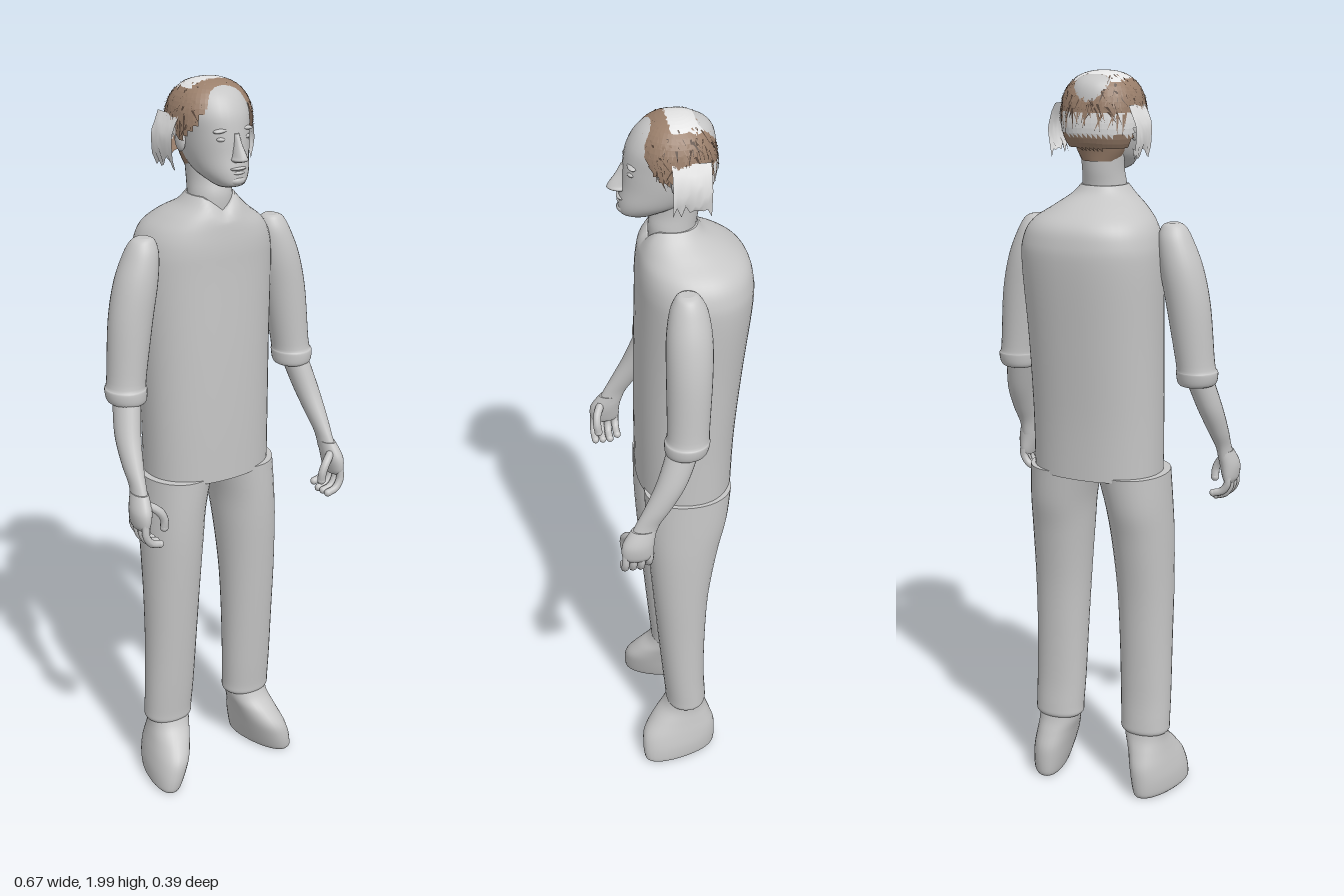
import * as THREE from 'three';

const mat = (name, color, side = THREE.FrontSide) => {
  const m = new THREE.MeshStandardMaterial({ color, side });
  m.name = name;
  return m;
};

function createModel() {
  const grey = mat('grey', 0xc6c6c6);
  const pale = mat('pale grey', 0xe4e4e4, THREE.DoubleSide);
  const brown = mat('brown hair', 0x9a7f6b, THREE.DoubleSide);
  const dark = mat('dark hair', 0x5a483c, THREE.DoubleSide);
  const model = new THREE.Group();
  model.name = 'standingMan';

  let seed = 7;
  const rnd = () => (seed = (seed * 16807) % 2147483647) / 2147483647;

  const add = (name, geometry, material = grey, parent = model) => {
    const mesh = new THREE.Mesh(geometry, material);
    mesh.name = name;
    parent.add(mesh);
    return mesh;
  };

  // Smooth stack of rounded cross-sections [y, cx, cz, rx, rz], listed bottom to top
  function loft(sections, { s = 1, n = 2, seg = 32, sub = 5, warp } = {}) {
    const rows = [];
    const last = sections.length - 1;
    const at = (i) => sections[Math.min(last, Math.max(0, i))];
    for (let k = 0; k <= last * sub; k++) {
      const i = Math.min(last - 1, Math.floor(k / sub)), t = k / sub - i;
      rows.push(at(i).map((b, c) => {
        const a = at(i - 1)[c], d = at(i + 1)[c], e = at(i + 2)[c];
        const m0 = (d - a) / 2, m1 = (e - b) / 2;
        return b + m0 * t + (3 * (d - b) - 2 * m0 - m1) * t * t + (2 * (b - d) + m0 + m1) * t * t * t;
      }));
    }
    const pos = [], idx = [];
    const pw = (v) => Math.sign(v) * Math.pow(Math.abs(v), 2 / n);
    const ring = ([y, cx, cz, rx, rz]) => {
      for (let i = 0; i < seg; i++) {
        const a = (i / seg) * Math.PI * 2;
        const p = new THREE.Vector3(cx * s + rx * pw(Math.cos(a)), y, cz + rz * pw(Math.sin(a)));
        if (warp) warp(p);
        pos.push(p.x, p.y, p.z);
      }
    };
    rows.forEach(ring);
    for (let j = 0; j < rows.length - 1; j++) {
      for (let i = 0; i < seg; i++) {
        const a = j * seg + i, b = j * seg + ((i + 1) % seg);
        idx.push(a, a + seg, b, b, a + seg, b + seg);
      }
    }
    // end caps with their own vertices
    [rows[0], rows[rows.length - 1]].forEach((row, top) => {
      const base = pos.length / 3;
      ring(row);
      pos.push(row[1] * s, row[0], row[2]);
      for (let i = 0; i < seg; i++) {
        const a = base + i, b = base + ((i + 1) % seg);
        idx.push(base + seg, top ? b : a, top ? a : b);
      }
    });
    const g = new THREE.BufferGeometry();
    g.setAttribute('position', new THREE.Float32BufferAttribute(pos, 3));
    g.setIndex(idx);
    g.computeVertexNormals();
    return g;
  }

  const blob = (name, x, y, z, rx, ry, rz, parent = model) => {
    const m = add(name, new THREE.SphereGeometry(1, 16, 12), grey, parent);
    m.position.set(x, y, z);
    m.scale.set(rx, ry, rz);
    return m;
  };

  // Shirt with a small V at the collar
  add('shirt', loft([
    [0.935, 0.004, -0.017, 0.18, 0.128], [1.1, 0.004, -0.02, 0.181, 0.132],
    [1.3, 0.006, -0.03, 0.184, 0.14], [1.5, 0.01, -0.043, 0.19, 0.148],
    [1.57, 0.01, -0.043, 0.184, 0.147], [1.615, 0.007, -0.037, 0.163, 0.137],
    [1.65, 0, -0.018, 0.122, 0.112], [1.68, 0, 0.005, 0.083, 0.08], [1.705, 0, 0.01, 0.06, 0.064],
  ], {
    n: 2.25, seg: 48,
    warp: (p) => {
      if (p.z > 0.02 && p.y > 1.64) p.y -= 0.04 * Math.max(0, 1 - Math.abs(p.x) / 0.05) * (p.y - 1.64) / 0.065;
    },
  }));

  // Neck and head
  add('neck', loft([[1.63, 0, 0.01, 0.062, 0.055], [1.7, 0, 0.01, 0.058, 0.06], [1.75, 0, 0, 0.055, 0.058], [1.82, 0, -0.005, 0.06, 0.06]]));
  add('head', loft([
    [1.738, 0, 0.085, 0.025, 0.03], [1.748, 0, 0.085, 0.04, 0.055], [1.775, 0, 0.055, 0.062, 0.088],
    [1.82, 0, 0.028, 0.076, 0.107], [1.87, 0, 0.02, 0.083, 0.11], [1.92, 0, 0.012, 0.088, 0.108],
    [1.96, 0, 0.004, 0.076, 0.091], [1.982, 0, 0, 0.05, 0.06], [1.99, 0, 0, 0.01, 0.014],
  ], { n: 2.1 }));
  const face = new THREE.Group();
  face.name = 'face';
  model.add(face);
  add('nose', loft([
    [1.805, 0, 0.133, 0.012, 0.012], [1.812, 0, 0.138, 0.02, 0.029], [1.822, 0, 0.137, 0.016, 0.031],
    [1.85, 0, 0.128, 0.01, 0.02], [1.875, 0, 0.122, 0.008, 0.012],
  ], { seg: 16 }), grey, face);
  blob('upperLip', 0, 1.789, 0.134, 0.024, 0.005, 0.013, face);
  blob('lowerLip', 0, 1.779, 0.133, 0.02, 0.006, 0.013, face);
  blob('chin', 0, 1.759, 0.127, 0.025, 0.014, 0.02, face);
  for (const s of [-1, 1]) {
    blob('eye', s * 0.034, 1.862, 0.112, 0.015, 0.007, 0.012, face);
    blob('brow', s * 0.036, 1.883, 0.112, 0.022, 0.006, 0.012, face).rotation.z = -s * 0.12;
    blob('ear', s * 0.086, 1.85, 0.005, 0.01, 0.032, 0.02, face).rotation.x = -0.15;
  }

  // Hair surface: squarish ellipsoid around the skull
  const shell = (d, k = 1) => {
    const q = Math.pow(Math.abs(d.x) ** 2.4 + Math.abs(d.y) ** 2.4 + Math.abs(d.z) ** 2.4, -1 / 2.4) * k;
    return new THREE.Vector3(d.x * q * 0.108, 1.88 + d.y * q * 0.114, 0.004 + d.z * q * 0.103);
  };
  const hasHair = (p) => {
    if (p.z > 0.03) return p.y > 1.972 - 0.095 * (p.x / 0.095) ** 2;
    return p.y > (p.z < -0.03 ? 1.8 : 1.86);
  };
  const isPale = (p) => (p.y > 1.965 && p.z > -0.055 && p.z < 0.025 && Math.abs(p.x) < 0.07)
    || (p.y < 1.893 && p.y > 1.835 && p.z < 0.02);

  // Hair cap, divided into brown and pale areas
  const sphere = new THREE.SphereGeometry(1, 48, 28).toNonIndexed().getAttribute('position');
  const areas = { brown: [], pale: [] };
  for (let i = 0; i < sphere.count; i += 3) {
    const tri = [0, 1, 2].map((k) => shell(new THREE.Vector3().fromBufferAttribute(sphere, i + k)));
    const mid = tri[0].clone().add(tri[1]).add(tri[2]).divideScalar(3);
    if (hasHair(mid)) tri.forEach((p) => areas[isPale(mid) ? 'pale' : 'brown'].push(...p.toArray()));
  }
  const soup = (list) => {
    const g = new THREE.BufferGeometry();
    g.setAttribute('position', new THREE.Float32BufferAttribute(list, 3));
    g.computeVertexNormals();
    return g;
  };
  add('hairCap', soup(areas.brown), brown);
  add('scalpPatches', soup(areas.pale), pale);

  // Loose locks: slim pointed strips hanging over the cap
  const locks = [[], []];
  for (let i = 0; i < 260; i++) {
    const a = rnd() * Math.PI * 2, h = 0.05 + rnd() * 0.85, len = 0.2 + rnd() * 0.25, lean = (rnd() - 0.5) * 0.5;
    const dir = (ang, y) => new THREE.Vector3(Math.cos(ang) * Math.sqrt(1 - y * y), y, Math.sin(ang) * Math.sqrt(1 - y * y));
    const root = shell(dir(a, h), 1.01), side = shell(dir(a + 0.07, h), 1.01), tip = shell(dir(a + lean, h - len), 1.04);
    if (hasHair(root) && (hasHair(tip) || tip.z < 0.06 || tip.y > 1.945)) {
      locks[i % 3 ? 0 : 1].push(...root.toArray(), ...side.toArray(), ...tip.toArray());
    }
  }
  add('brownLocks', soup(locks[0]), brown);
  add('darkLocks', soup(locks[1]), dark);

  // Nape hair
  add('napeHair', loft([[1.768, 0, -0.012, 0.05, 0.052], [1.8, 0, -0.012, 0.066, 0.06], [1.84, 0, -0.01, 0.076, 0.078]], { seg: 24 }), brown);

  for (const s of [-1, 1]) {
    const side = s > 0 ? 'left' : 'right';

    // Ragged pale side hair
    const sheet = new THREE.PlaneGeometry(0.095, 0.12, 9, 5).rotateY(Math.PI / 2);
    const sp = sheet.getAttribute('position');
    for (let i = 0; i < sp.count; i++) {
      const low = 0.5 - sp.getY(i) / 0.12;
      sp.setX(i, s * (0.104 + 0.022 * Math.sin(low * 2.6)));
      sp.setY(i, 1.852 + sp.getY(i) + low * (rnd() - 0.5) * 0.035);
      sp.setZ(i, -0.02 + sp.getZ(i));
    }
    sheet.computeVertexNormals();
    add(side + 'SideHair', sheet, pale);

    // Arm: sleeve with rolled hem, forearm, hand
    const arm = new THREE.Group();
    arm.name = side + 'Arm';
    model.add(arm);
    add('sleeve', loft([
      [1.187, 0.262, 0.022, 0.03, 0.035], [1.195, 0.265, 0.02, 0.05, 0.053], [1.225, 0.266, 0.017, 0.055, 0.058],
      [1.25, 0.262, 0.014, 0.051, 0.054], [1.4, 0.243, 0.008, 0.058, 0.058], [1.5, 0.223, 0.005, 0.057, 0.058],
      [1.57, 0.206, 0.004, 0.046, 0.048], [1.605, 0.2, 0.005, 0.032, 0.032], [1.615, 0.198, 0.006, 0.016, 0.02],
    ], { s }), grey, arm);
    add('forearm', loft([
      [0.96, 0.305, 0.142, 0.02, 0.034], [1.0, 0.302, 0.125, 0.019, 0.032], [1.05, 0.298, 0.095, 0.026, 0.036],
      [1.12, 0.288, 0.058, 0.033, 0.04], [1.21, 0.268, 0.025, 0.036, 0.042],
    ], { s, seg: 24 }), grey, arm);
    add('palm', loft([
      [0.895, 0.313, 0.154, 0.014, 0.032], [0.91, 0.314, 0.155, 0.02, 0.041], [0.945, 0.311, 0.152, 0.025, 0.042],
      [0.985, 0.304, 0.136, 0.02, 0.033],
    ], { s, seg: 24 }), grey, arm);
    const finger = (name, pts, r) => {
      const curve = new THREE.CatmullRomCurve3(pts.map(([x, y, z]) => new THREE.Vector3(s * x, y, z)));
      add(name, new THREE.TubeGeometry(curve, 10, r, 8), grey, arm);
      const tip = curve.getPoint(1);
      blob(name + 'Tip', tip.x, tip.y, tip.z, r, r, r, arm);
    };
    for (let f = 0; f < 4; f++) {
      const z = 0.122 + f * 0.021, drop = f === 0 ? 0.012 : 0;
      finger('finger', [[0.316, 0.915, z], [0.316, 0.882 + drop, z + 0.002], [0.3, 0.858 + drop, z + 0.003], [0.275, 0.85 + drop, z + 0.002]], 0.0105);
    }
    finger('thumb', [[0.3, 0.96, 0.165], [0.272, 0.94, 0.18], [0.258, 0.915, 0.183], [0.257, 0.89, 0.18]], 0.0115);

    // Leg and shoe
    const leg = new THREE.Group();
    leg.name = side + 'Leg';
    model.add(leg);
    add('trouserLeg', loft([
      [0.178, 0.135, -0.005, 0.058, 0.048], [0.188, 0.135, -0.005, 0.069, 0.057], [0.215, 0.135, -0.004, 0.07, 0.058],
      [0.3, 0.133, 0.002, 0.072, 0.06], [0.45, 0.13, 0.007, 0.074, 0.068], [0.6, 0.127, 0.008, 0.078, 0.079],
      [0.75, 0.121, 0.001, 0.083, 0.097], [0.85, 0.114, -0.009, 0.086, 0.111], [0.945, 0.1, -0.015, 0.095, 0.118],
    ], { s, n: 2.1 }), grey, leg);
    // sole is skewed so the toes point outward
    add('shoe', loft([
      [0.0, 0.17, 0.02, 0.04, 0.1], [0.012, 0.17, 0.02, 0.047, 0.107], [0.05, 0.165, 0.02, 0.053, 0.11],
      [0.09, 0.157, 0.018, 0.055, 0.106], [0.13, 0.147, 0.01, 0.056, 0.085], [0.165, 0.138, 0, 0.058, 0.062],
      [0.2, 0.135, -0.005, 0.06, 0.05],
    ], {
      s, n: 2.2,
      warp: (p) => { p.x += s * 0.22 * p.z * Math.max(0, 1 - p.y / 0.18); },
    }), grey, leg);
  }
  return model;
}

export { createModel };
